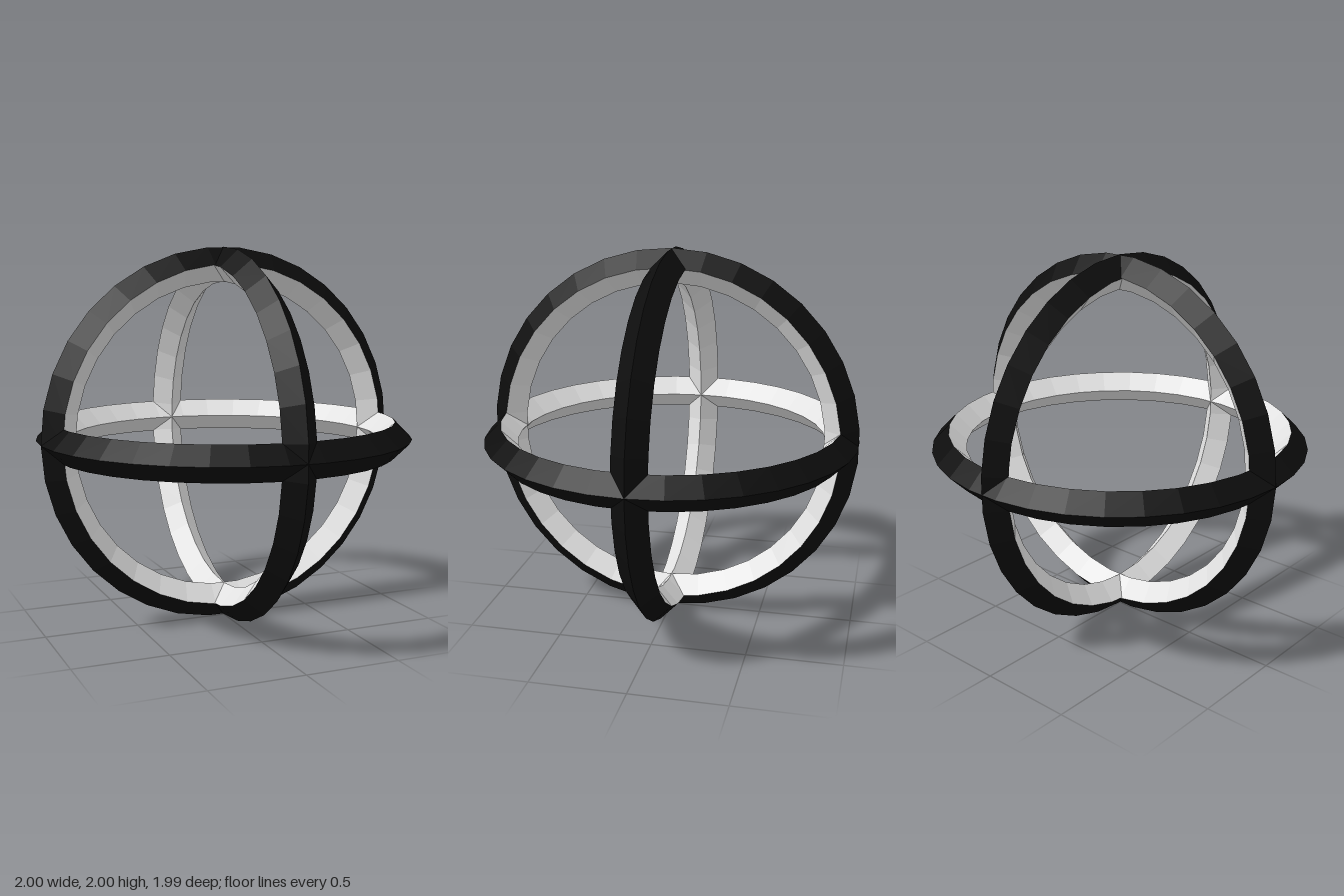
import * as THREE from 'three';

const TUBE = 0.09;
const RADIUS = 0.91;
const SEGMENTS = 34;

export function createModel() {
  const black = new THREE.MeshStandardMaterial({ color: 0x0d0d0d });
  black.name = 'black';
  const white = new THREE.MeshStandardMaterial({ color: 0xe2e2e2 });
  white.name = 'white';

  // Faceted ring with a diamond cross-section: outer two faces black, inner two white
  const torus = new THREE.TorusGeometry(RADIUS, TUBE, 4, SEGMENTS);
  const strip = SEGMENTS * 6;
  torus.clearGroups();
  torus.addGroup(0, strip, 0);
  torus.addGroup(strip, strip * 2, 1);
  torus.addGroup(strip * 3, strip, 0);
  const ringGeometry = torus.toNonIndexed();
  ringGeometry.computeVertexNormals();

  const model = new THREE.Group();
  model.name = 'ringSphere';
  const addRing = (name, turn) => {
    const ring = new THREE.Mesh(turn(ringGeometry.clone()), [black, white]);
    ring.name = name;
    ring.position.y = 1;
    model.add(ring);
  };

  // Three rings at right angles
  addRing('frontRing', (g) => g);
  addRing('equatorRing', (g) => g.rotateX(Math.PI / 2));
  addRing('sideRing', (g) => g.rotateZ(Math.PI / 2).rotateY(Math.PI / 2));

  return model;
}
